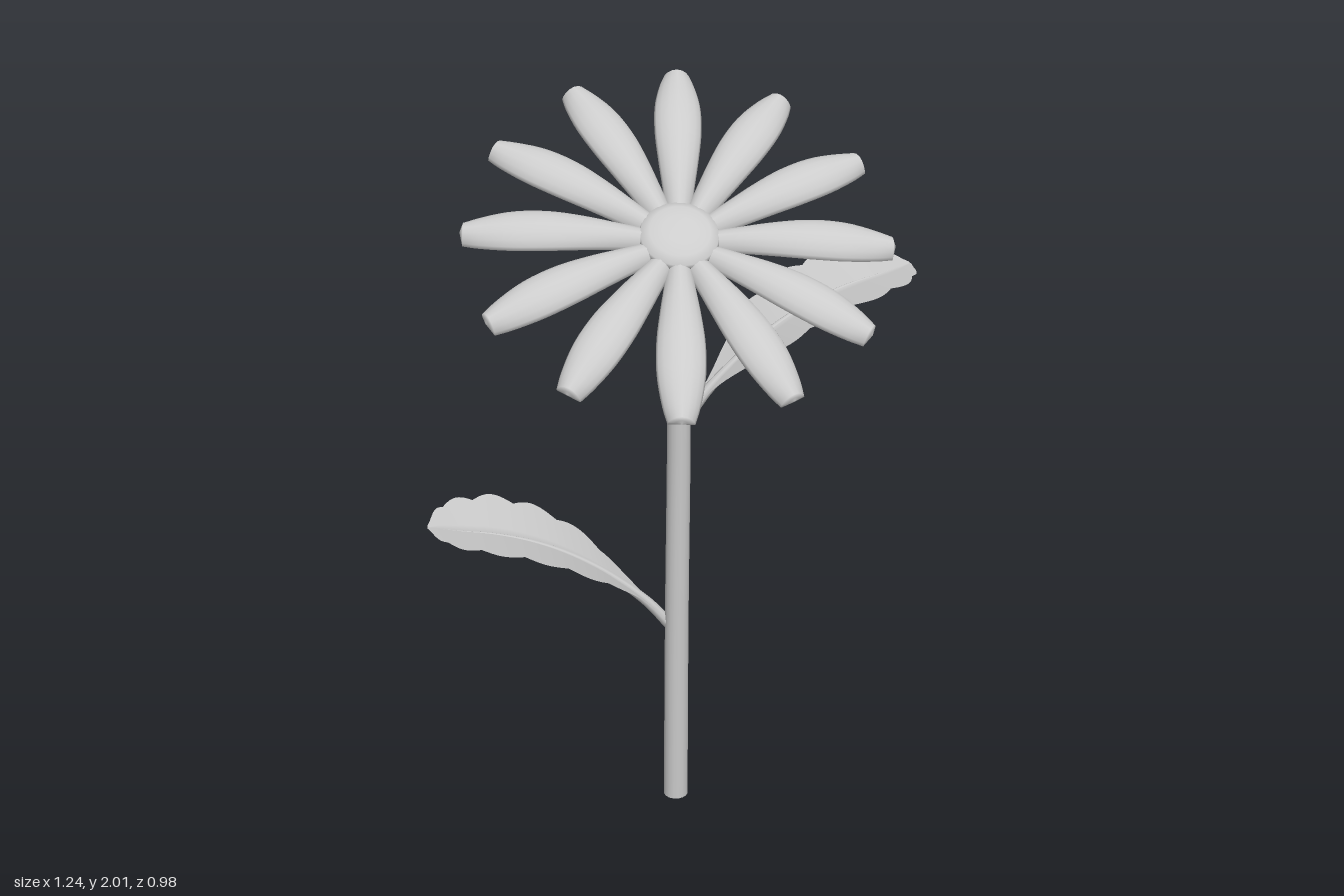
import * as THREE from 'three';
import { ParametricGeometry } from 'three/addons/geometries/ParametricGeometry.js';

const V = (x, y, z) => new THREE.Vector3(x, y, z);
const curve = (pts) => new THREE.CatmullRomCurve3(pts.map((p) => V(...p)));
const grey = new THREE.MeshStandardMaterial({ color: 0xcccccc });
const greyDouble = new THREE.MeshStandardMaterial({ color: 0xcccccc, side: THREE.DoubleSide });

function add(parent, name, geometry, material = grey) {
  const mesh = new THREE.Mesh(geometry, material);
  mesh.name = name;
  parent.add(mesh);
  return mesh;
}

// Round tube that tapers along a path from r0 to r1
function taperedTube(path, r0, r1, segments = 48, sides = 16) {
  const geo = new THREE.TubeGeometry(path, segments, 1, sides);
  const pos = geo.attributes.position;
  const p = V(0, 0, 0);
  for (let i = 0; i < pos.count; i++) {
    const t = Math.floor(i / (sides + 1)) / segments;
    const c = path.getPointAt(t);
    p.fromBufferAttribute(pos, i).sub(c).multiplyScalar(r0 + (r1 - r0) * t).add(c);
    pos.setXYZ(i, p.x, p.y, p.z);
  }
  return geo;
}

// Petal profile: x = half width, y = arch, z = distance from flower centre
const petalProfile = curve([
  [0.03, 0.0, 0.06], [0.038, 0.015, 0.14], [0.05, 0.026, 0.23], [0.059, 0.03, 0.32],
  [0.058, 0.024, 0.41], [0.044, 0.01, 0.49], [0.033, 0.002, 0.526],
]);

function petalGeometry() {
  return new ParametricGeometry((u, v, out) => {
    const p = petalProfile.getPoint(Math.min(1, v / 0.92));
    const close = v > 0.92 ? Math.max(0.02, (1 - v) / 0.08) : 1; // blunt tip
    const c = Math.cos(u * Math.PI * 2), s = Math.sin(u * Math.PI * 2);
    const thick = (s > 0 ? 0.02 : 0.011) * close;
    const z = p.z + (1 - close) * 0.008;
    out.set(p.x * c * close, p.y + thick * s - 0.012 * c * c * close, z);
  }, 16, 25);
}

// Leaf profile: x = half width, y = rise, z = reach
const leafProfile = curve([
  [0.012, 0, 0], [0.022, 0.075, 0.06], [0.075, 0.14, 0.13], [0.14, 0.195, 0.2],
  [0.172, 0.25, 0.29], [0.185, 0.29, 0.38], [0.182, 0.317, 0.47],
  [0.155, 0.332, 0.55], [0.105, 0.343, 0.605], [0.01, 0.35, 0.64],
]);

function leafGeometry() {
  return new ParametricGeometry((u, v, out) => {
    const p = leafProfile.getPoint(v);
    const q = 1 - 2 * u, a = Math.abs(q);
    // Rounded lobes with sharp notches along the margin
    const lobe = Math.abs(Math.sin(v * Math.PI * 7));
    const notch = THREE.MathUtils.smoothstep(v, 0.12, 0.3) * 0.15 * (1 - lobe);
    const x = q * p.x * (1 - notch * a);
    const lift = 0.25 * Math.abs(x) * (1 - 0.5 * v);
    out.set(x, p.y + lift, p.z + 0.12 * Math.abs(x) * (1 - v));
  }, 12, 98);
}

function makeLeaf(name, position, dx, dz) {
  const leaf = new THREE.Group();
  leaf.name = name;
  add(leaf, 'leafBlade', leafGeometry(), greyDouble);
  const rib = curve(leafProfile.points.slice(0, -1).map((p) => [0, p.y - 0.002, p.z]));
  add(leaf, 'leafMidrib', taperedTube(rib, 0.016, 0.002, 30, 8));
  leaf.position.set(...position);
  leaf.rotation.y = Math.atan2(dx, dz);
  return leaf;
}

function makeFlower() {
  const flower = new THREE.Group();
  flower.name = 'flowerHead';

  // Ring of twelve petals
  const petal = petalGeometry();
  for (let i = 0; i < 12; i++) {
    add(flower, 'petal', petal).rotation.y = (i * Math.PI) / 6;
  }

  // Low domed centre
  const dome = [[0.085, -0.01], [0.1, 0.012], [0.096, 0.025], [0.075, 0.037], [0.04, 0.044], [0, 0.046]];
  add(flower, 'flowerCentre', new THREE.LatheGeometry(dome.map((p) => new THREE.Vector2(...p)), 32));

  // Scalloped cup beneath the petals
  const cup = curve([[0.001, -0.105, 0], [0.045, -0.1, 0], [0.07, -0.075, 0],
    [0.085, -0.045, 0], [0.115, -0.016, 0], [0.1, 0.005, 0]]);
  add(flower, 'calyx', new ParametricGeometry((u, v, out) => {
    const p = cup.getPoint(v), a = -u * Math.PI * 2;
    const r = p.x * (1 + 0.06 * v * Math.cos(12 * a));
    out.set(r * Math.cos(a), p.y, r * Math.sin(a));
  }, 72, 14), greyDouble);

  // Tilt the head forward and to one side
  const side = V(0.966, 0.229, 0.126).normalize();
  const up = V(0, -0.506, 0.863).cross(side).normalize();
  const front = side.clone().cross(up);
  flower.quaternion.setFromRotationMatrix(new THREE.Matrix4().makeBasis(side, up, front));
  flower.position.set(-0.1, 1.705, 0.04);
  return flower;
}

export function createModel() {
  const model = new THREE.Group();
  model.name = 'daisy';

  // Gently bending stem with a closed foot
  const stem = curve([
    [-0.025, 0, -0.095], [-0.028, 0.6, -0.08], [-0.031, 1.1, -0.063],
    [-0.04, 1.35, -0.05], [-0.055, 1.52, -0.022], [-0.08, 1.65, 0.012],
  ]);
  add(model, 'stem', taperedTube(stem, 0.034, 0.03));
  const foot = add(model, 'stemFoot', new THREE.CircleGeometry(0.034, 16));
  foot.rotation.x = Math.PI / 2;
  foot.position.set(-0.025, 0.0005, -0.095);

  model.add(makeLeaf('upperLeaf', [-0.015, 1.16, -0.06], 0.97, 0.24));
  model.add(makeLeaf('lowerLeaf', [-0.04, 0.55, -0.095], -0.9, -0.44));
  model.add(makeFlower());
  return model;
}
